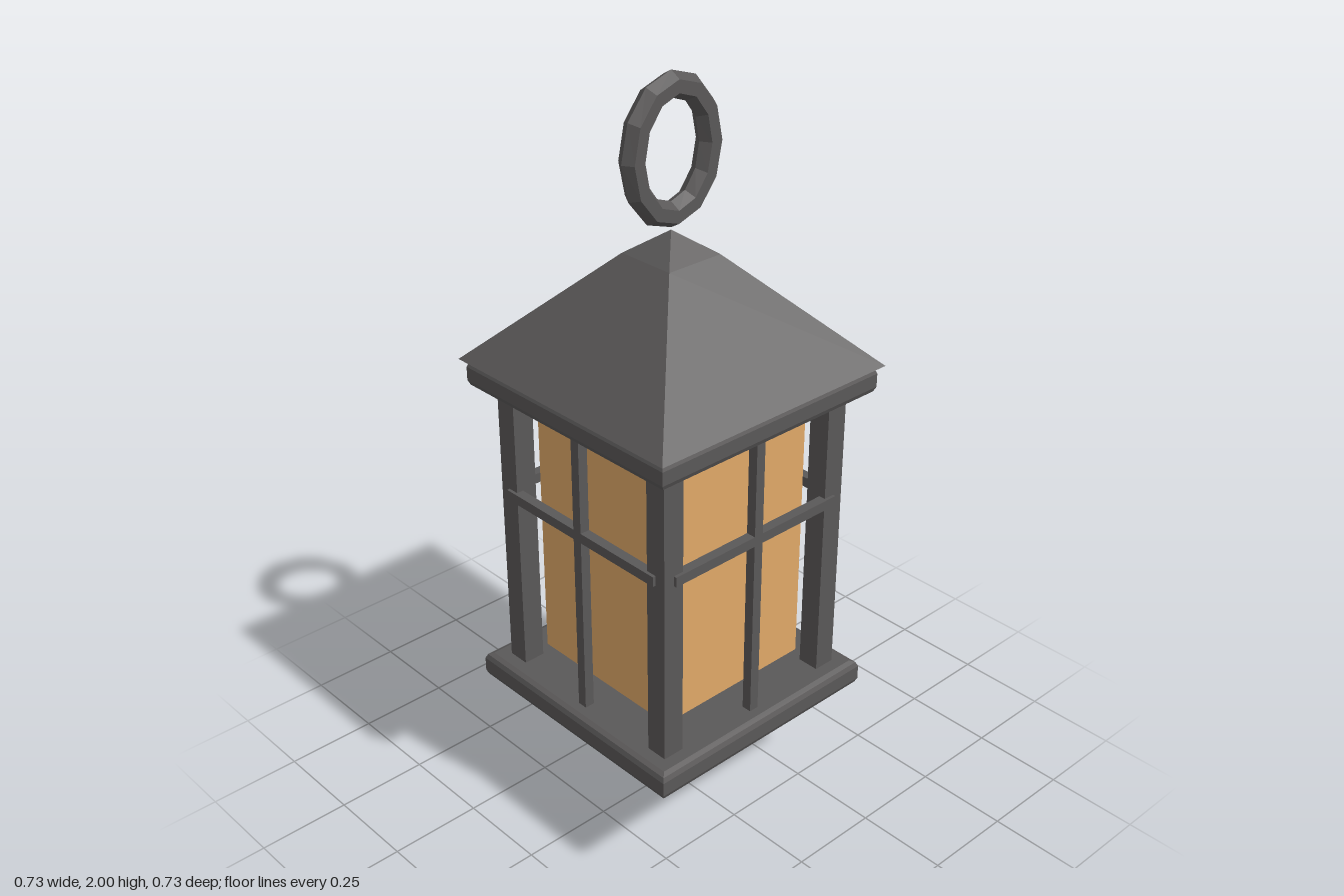
import * as THREE from 'three';

const metal = new THREE.MeshStandardMaterial({ color: 0x5a5858 });
const glass = new THREE.MeshStandardMaterial({ color: 0xe0a868 });

// Unshared vertices give each facet its own normal
function faceted(geometry) {
  const flat = geometry.toNonIndexed();
  flat.computeVertexNormals();
  return flat;
}

// Four-sided solid from [half width, height] pairs, listed bottom to top
function squareTurned(profile) {
  const points = profile.map(([half, y]) => new THREE.Vector2(half * Math.SQRT2, y));
  return faceted(new THREE.LatheGeometry(points, 4, Math.PI / 4));
}

// Square plate with softened upper and lower rims
function plate(bottom, top) {
  const half = 0.354, r = 0.018;
  return squareTurned([
    [0, bottom], [half - r, bottom], [half - 0.3 * r, bottom + 0.3 * r], [half, bottom + r],
    [half, top - r], [half - 0.3 * r, top - 0.3 * r], [half - r, top], [0, top],
  ]);
}

export function createModel() {
  const lantern = new THREE.Group();
  lantern.name = 'lantern';

  function add(name, geometry, material, x = 0, y = 0, z = 0, parent = lantern) {
    const mesh = new THREE.Mesh(geometry, material);
    mesh.name = name;
    mesh.position.set(x, y, z);
    parent.add(mesh);
    return mesh;
  }

  // Pointed finial, plates and roof
  add('bottomFinial', squareTurned([[0, 0.005], [0.193, 0.325], [0, 0.325]]), metal);
  add('basePlate', plate(0.322, 0.397), metal);
  add('topPlate', plate(1.2, 1.272), metal);
  add('roof', squareTurned([[0, 1.272], [0.367, 1.275], [0.082, 1.56], [0, 1.62]]), metal);

  // Amber glass block, floating between the plates
  add('glass', new THREE.BoxGeometry(0.468, 0.74, 0.468), glass, 0, 0.8, 0);

  // Corner posts
  const postGeometry = new THREE.BoxGeometry(0.06, 0.81, 0.06);
  for (const x of [-1, 1]) {
    for (const z of [-1, 1]) {
      add('cornerPost', postGeometry, metal, x * 0.273, 0.7985, z * 0.273);
    }
  }

  // A cross of glazing bars on each side
  const uprightGeometry = new THREE.BoxGeometry(0.027, 0.81, 0.027);
  const crossbarGeometry = new THREE.BoxGeometry(0.546, 0.027, 0.027);
  for (let i = 0; i < 4; i++) {
    const side = new THREE.Group();
    side.name = 'glazingBars';
    side.rotation.y = i * Math.PI / 2;
    add('uprightBar', uprightGeometry, metal, 0, 0.7985, 0.298, side);
    add('crossbar', crossbarGeometry, metal, 0, 0.909, 0.298, side);
    lantern.add(side);
  }

  // Hanging ring: a torus stretched upright with its tube kept even
  const ring = new THREE.TorusGeometry(0.12, 0.032, 6, 12);
  const pos = ring.attributes.position;
  for (let i = 0; i < pos.count; i++) {
    const x = pos.getX(i), y = pos.getY(i);
    pos.setY(i, y + 0.035 * y / Math.hypot(x, y));
  }
  add('hangingRing', faceted(ring), metal, 0, 1.813, 0);

  return lantern;
}
